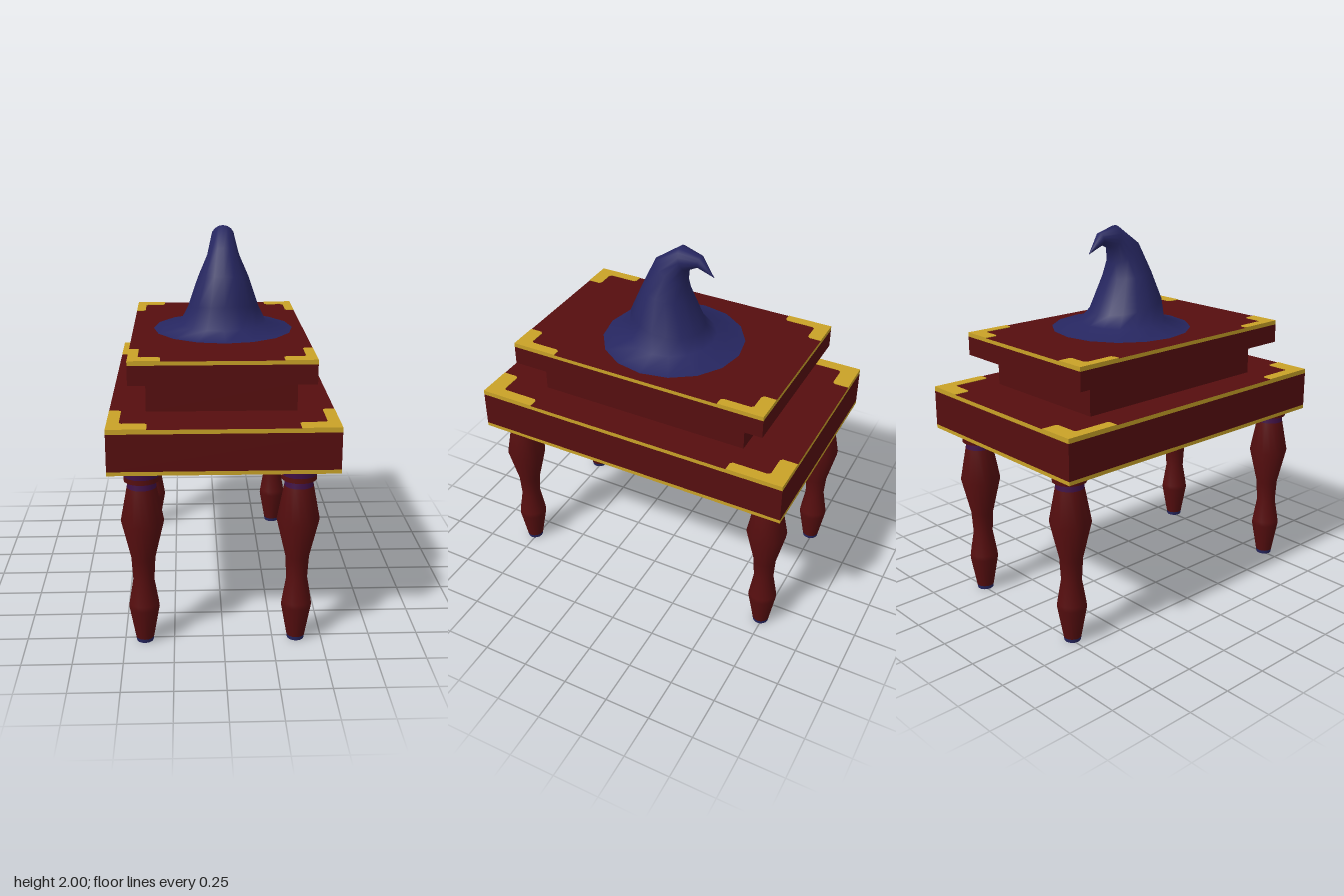
import * as THREE from 'three';

const mat = (name, color) => new THREE.MeshStandardMaterial({ name, color });

export function createModel() {
  const red = mat('dark red wood', 0x560e0f);
  const gold = mat('gold trim', 0xc9a227);
  const navy = mat('navy felt', 0x262660);
  const purple = mat('purple band', 0x3f1045);
  const root = new THREE.Group();
  root.name = 'tableWithHat';

  const add = (parent, name, geometry, material) => {
    const mesh = new THREE.Mesh(geometry, material);
    mesh.name = name;
    parent.add(mesh);
    return mesh;
  };

  // Tabletop tiers: stacked layers, where gold layers show gold on the sides only
  const layer = (name, x, z, w, d, y0, y1, side) => {
    const faces = [side, side, red, red, side, side];
    add(root, name, new THREE.BoxGeometry(w, y1 - y0, d), faces)
      .position.set(x, (y0 + y1) / 2, z);
  };
  layer('baseLowerTrim', 0, -0.005, 1.126, 1.736, 0.93, 0.95, gold);
  layer('baseBody', 0, -0.005, 1.126, 1.736, 0.95, 1.138, red);
  layer('baseUpperTrim', 0, -0.005, 1.126, 1.736, 1.138, 1.16, gold);
  layer('middleBody', -0.002, -0.004, 0.756, 1.162, 1.16, 1.304, red);
  layer('middleTrim', -0.002, -0.004, 0.756, 1.162, 1.304, 1.33, gold);
  layer('topBody', -0.002, -0.004, 0.92, 1.418, 1.33, 1.43, red);
  layer('topTrim', -0.002, -0.004, 0.92, 1.418, 1.43, 1.45, gold);

  // L-shaped corner plates with clipped ends
  const corners = (name, cx, cz, hw, hd, y, armX, armZ, tx, tz) => {
    const c = 0.012;
    const outline = [[0, 0], [armX, 0], [armX, tz - c], [armX - c, tz], [tx + c, tz],
      [tx, tz + c], [tx, armZ - c], [tx - c, armZ], [0, armZ]];
    for (const sx of [-1, 1]) for (const sz of [-1, 1]) {
      const shape = new THREE.Shape(outline.map(([u, v]) =>
        new THREE.Vector2(cx + sx * (hw - u), -(cz + sz * (hd - v)))));
      const plate = new THREE.ExtrudeGeometry(shape, { depth: 0.004, bevelEnabled: false });
      plate.rotateX(-Math.PI / 2);
      add(root, name, plate, gold).position.y = y - 0.001;
    }
  };
  corners('baseCorner', 0, -0.005, 0.563, 0.868, 1.16, 0.195, 0.3, 0.06, 0.09);
  corners('topCorner', -0.002, -0.004, 0.46, 0.709, 1.45, 0.16, 0.245, 0.05, 0.075);

  // Turned legs: each section is a lathe of [radius, height] points
  const turn = (points) =>
    new THREE.LatheGeometry(points.map(([r, y]) => new THREE.Vector2(r, y)), 16);
  const sections = [
    ['foot', navy, [[0, 0], [0.043, 0]]],
    ['footRim', navy, [[0.043, 0], [0.046, 0.02]]],
    ['shaft', red, [[0.046, 0.02], [0.077, 0.19], [0.074, 0.215], [0.053, 0.34],
      [0.06, 0.46], [0.107, 0.66], [0.073, 0.84]]],
    ['neck', purple, [[0.073, 0.84], [0.068, 0.876]]],
    ['capUnderside', purple, [[0.06, 0.875], [0.088, 0.875]]],
    ['capLower', red, [[0.088, 0.875], [0.088, 0.9]]],
    ['capUpper', purple, [[0.088, 0.9], [0.088, 0.931]]],
  ];
  for (const x of [-0.4, 0.37]) for (const z of [0.767, -0.738]) {
    const leg = new THREE.Group();
    leg.name = z > 0 ? 'frontLeg' : 'backLeg';
    leg.position.set(x, 0, z);
    for (const [name, material, points] of sections) add(leg, name, turn(points), material);
    root.add(leg);
  }

  // Bent hat: rings given by front (z, y), back (z, y) and half width
  const rings = [
    [0.362, 1.452, -0.39, 1.452, 0.376],
    [0.22, 1.485, -0.24, 1.485, 0.235],
    [0.218, 1.61, -0.18, 1.54, 0.19],
    [0.155, 1.755, -0.1, 1.72, 0.135],
    [0.09, 1.9, -0.088, 1.8, 0.085],
    [-0.05, 2.0, -0.09, 1.875, 0.062],
    [-0.165, 1.97, -0.15, 1.905, 0.033],
    [-0.238, 1.866, -0.238, 1.866, 0.001],
  ];
  const n = 16, pos = [], index = [];
  rings.forEach(([fz, fy, bz, by, w], i) => {
    for (let j = 0; j < n; j++) {
      const t = (j / n) * Math.PI * 2, k = Math.cos(t) / 2;
      pos.push(0.025 + w * Math.sin(t), (fy + by) / 2 + (fy - by) * k, (fz + bz) / 2 + (fz - bz) * k);
      if (i === 0) continue;
      const a = (i - 1) * n + j, b = (i - 1) * n + (j + 1) % n;
      index.push(a, b, b + n, a, b + n, a + n);
    }
  });
  const hat = new THREE.BufferGeometry();
  hat.setAttribute('position', new THREE.Float32BufferAttribute(pos, 3));
  hat.setIndex(index);
  hat.computeVertexNormals();
  add(root, 'pointedHat', hat, navy);

  return root;
}
